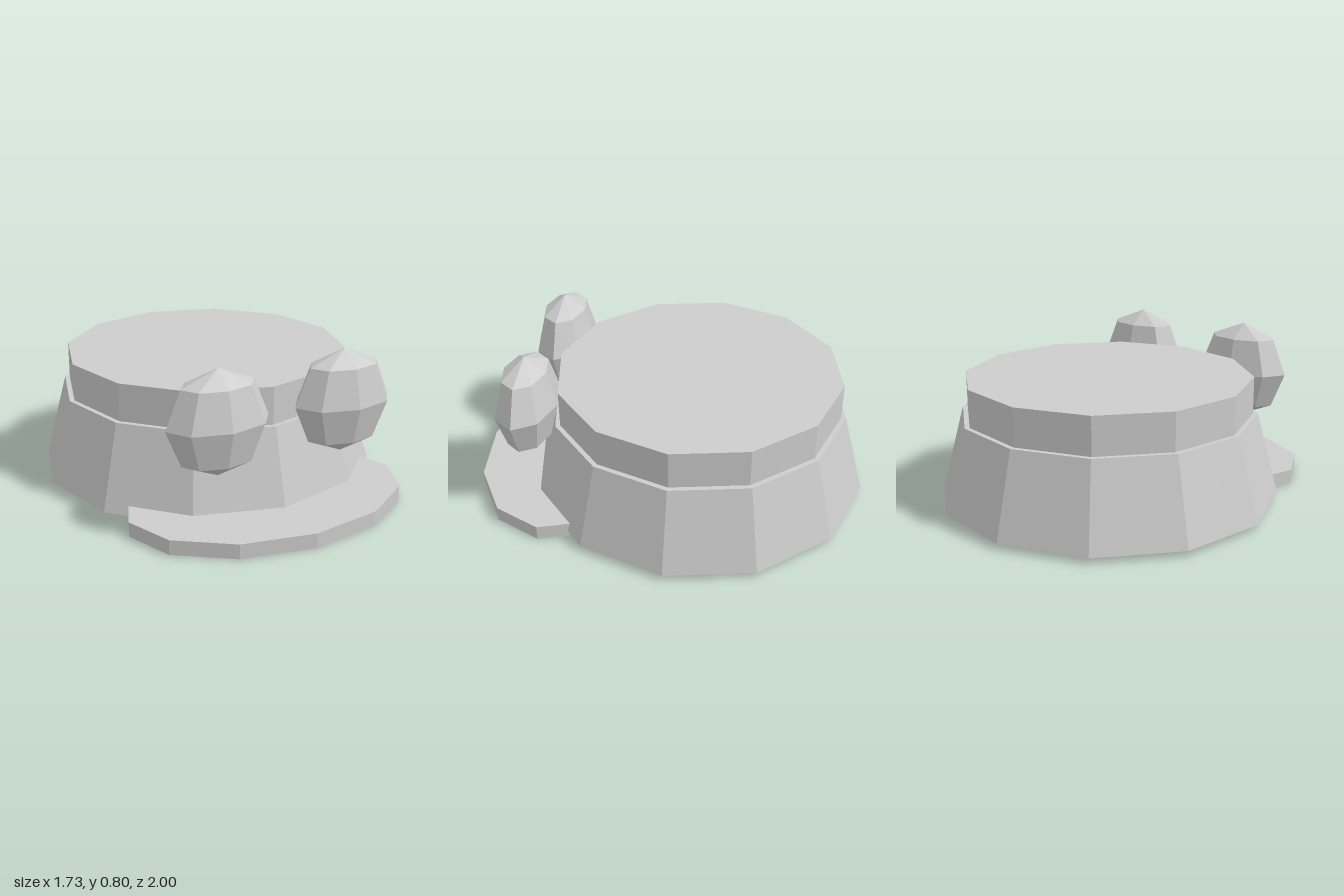
import * as THREE from 'three';

export function createModel() {
  const model = new THREE.Group();
  const grey = new THREE.MeshStandardMaterial({ color: 0xcccccc, flatShading: true });
  grey.name = 'lightGrey';

  const add = (name, geometry, x, y, z) => {
    const mesh = new THREE.Mesh(geometry, grey);
    mesh.name = name;
    mesh.position.set(x, y, z);
    model.add(mesh);
    return mesh;
  };

  // Twelve-sided drum from y0 to y1
  const drum = (name, rTop, rBottom, y0, y1, z) =>
    add(name, new THREE.CylinderGeometry(rTop, rBottom, y1 - y0, 12), 0, (y0 + y1) / 2, z);

  // Tapered body with a slightly narrower cap
  drum('body', 0.75, 0.863, 0.027, 0.446, -0.137);
  drum('cap', 0.725, 0.725, 0.446, 0.634, -0.137);

  // Flattened disc under the front
  drum('frontLip', 1, 1, 0, 0.073, 0.525).scale.set(0.713, 1, 0.475);

  // Pair of low-poly eyes, squashed front to back
  for (const [name, side] of [['leftEye', 1], ['rightEye', -1]]) {
    add(name, new THREE.SphereGeometry(1, 8, 4), side * 0.327, 0.541, 0.662)
      .scale.set(0.256, 0.256, 0.152);
  }

  return model;
}
